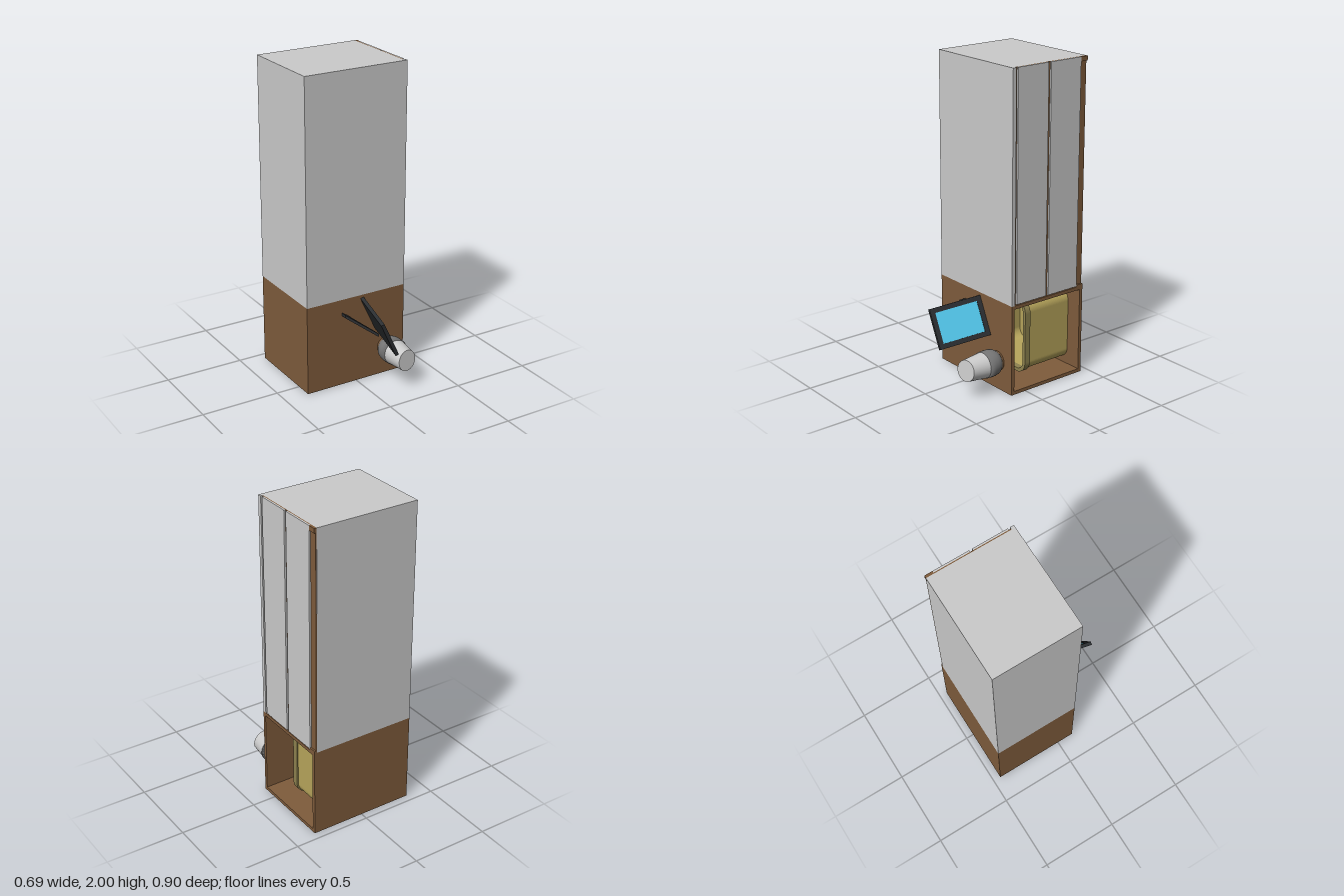
import * as THREE from 'three';

const mat = (color, side = THREE.FrontSide) => new THREE.MeshStandardMaterial({ color, side });
const GREY = mat(0xcccccc);
const BROWN = mat(0x7f5c3c);
const BLACK = mat(0x2b2e31);
const YELLOW = mat(0xb8a65c, THREE.DoubleSide);
const LIP = mat(0x8f8350, THREE.DoubleSide);
const DARK = mat(0x777777);
const BLUE = mat(0x55cdf2);

function add(parent, name, geometry, material) {
  const mesh = new THREE.Mesh(geometry, material);
  mesh.name = name;
  parent.add(mesh);
  return mesh;
}

// Box given by its extents on each axis
function block(parent, name, [x0, x1], [y0, y1], [z0, z1], material) {
  const mesh = add(parent, name, new THREE.BoxGeometry(x1 - x0, y1 - y0, z1 - z0), material);
  mesh.position.set((x0 + x1) / 2, (y0 + y1) / 2, (z0 + z1) / 2);
  return mesh;
}

function roundedRect(path, w, h, r) {
  const x = w / 2, y = h / 2;
  path.moveTo(-x + r, -y);
  path.lineTo(x - r, -y);
  path.absarc(x - r, -y + r, r, -Math.PI / 2, 0);
  path.lineTo(x, y - r);
  path.absarc(x - r, y - r, r, 0, Math.PI / 2);
  path.lineTo(-x + r, y);
  path.absarc(-x + r, y - r, r, Math.PI / 2, Math.PI);
  path.lineTo(-x, -y + r);
  path.absarc(-x + r, -y + r, r, Math.PI, Math.PI * 1.5);
  return path;
}

function extrude(w, h, r, depth, wall = 0) {
  const shape = roundedRect(new THREE.Shape(), w, h, r);
  if (wall) {
    shape.holes.push(roundedRect(new THREE.Path(), w - 2 * wall, h - 2 * wall, Math.max(r - wall, 0.0001)));
  }
  return new THREE.ExtrudeGeometry(shape, { depth, bevelEnabled: false, curveSegments: 8 });
}

// Grey drawer unit: carcass, fronts with brown gaps, worktop slab
function drawerUnit() {
  const g = new THREE.Group();
  g.name = 'drawerUnit';
  const y = [0.58, 2];
  block(g, 'carcass', [-0.345, 0.328], [0.575, 2], [-0.45, 0.085], GREY);
  block(g, 'recessedFrame', [0.328, 0.334], [0.575, 2], [-0.449, 0.085], BROWN);
  block(g, 'worktop', [-0.345, 0.345], [0.575, 2], [0.085, 0.11], GREY);
  for (const z of [[-0.4, -0.172], [-0.154, 0.072]]) block(g, 'drawerFront', [0.334, 0.345], y, z, GREY);
  for (const e of [[0.575, 0.588], [1.972, 2]]) block(g, 'plinthEnd', [0.328, 0.345], e, [-0.45, -0.4], BROWN);
  return g;
}

// Hollow brown shelf box, open towards +x
function shelfBox() {
  const g = new THREE.Group();
  g.name = 'openShelf';
  const x = [-0.345, 0.345], t = 0.022;
  block(g, 'shelfTop', x, [0, 0.575], [0.11 - t, 0.11], BROWN);
  block(g, 'shelfBase', x, [0, 0.575], [-0.45, -0.45 + t], BROWN);
  for (const y of [[0, t], [0.575 - t, 0.575]]) block(g, 'shelfSide', x, y, [-0.45 + t, 0.11 - t], BROWN);
  block(g, 'shelfBack', [-0.345, -0.345 + t], [t, 0.575 - t], [-0.45 + t, 0.11 - t], BROWN);
  return g;
}

// Rounded basket with a thicker lip, opening towards +z
function basket() {
  const g = new THREE.Group();
  g.name = 'basket';
  add(g, 'basketWall', extrude(0.46, 0.46, 0.07, 0.33, 0.012), YELLOW);
  add(g, 'basketFloor', extrude(0.45, 0.45, 0.065, 0.012), YELLOW);
  add(g, 'basketLip', extrude(0.478, 0.478, 0.078, 0.04, 0.022), LIP).position.z = 0.314;
  g.position.set(0.012, 0.288, -0.428);
  return g;
}

// Small lamp: brown foot, rounded dark body, tapered shade with a slanted end
function lamp() {
  const g = new THREE.Group();
  g.name = 'lamp';
  const lathe = (pts) =>
    new THREE.LatheGeometry(pts.map(([r, z]) => new THREE.Vector2(r, z)), 32).rotateX(Math.PI / 2);
  add(g, 'lampFoot', new THREE.CylinderGeometry(0.064, 0.06, 0.016, 32).rotateX(Math.PI / 2), BROWN).position.z = 0.007;
  const body = [[0, 0.012], [0.062, 0.012], [0.07, 0.021], [0.078, 0.034], [0.083, 0.054], [0.084, 0.075], [0.083, 0.115], [0, 0.115]];
  add(g, 'lampBody', lathe(body), DARK);
  const shade = new THREE.CylinderGeometry(0.066, 0.08, 0.13, 32).rotateX(Math.PI / 2).translate(0, 0, 0.18);
  const p = shade.attributes.position;
  for (let i = 0; i < p.count; i++) {
    if (p.getZ(i) > 0.2) p.setZ(i, 0.244 - 0.17 * p.getX(i) - 0.1 * p.getY(i));
  }
  shade.computeVertexNormals();
  add(g, 'lampShade', shade, GREY);
  g.position.set(0.215, 0.187, 0.11);
  return g;
}

// Leaning frame with a blue panel, held by a rear strut
function pictureFrame() {
  const g = new THREE.Group();
  g.name = 'pictureFrame';
  const panel = new THREE.Group();
  panel.name = 'leaningPanel';
  add(panel, 'frameBorder', extrude(0.25, 0.34, 0.0005, 0.022, 0.03), BLACK).position.z = -0.022;
  add(panel, 'bluePanel', new THREE.BoxGeometry(0.192, 0.282, 0.012), BLUE).position.z = -0.01;
  add(panel, 'frameBacking', new THREE.BoxGeometry(0.192, 0.282, 0.006), BLACK).position.z = -0.019;
  const up = new THREE.Vector3(-0.186, -0.087, 0.978).normalize();
  const out = new THREE.Vector3(0.886, 0.414, 0.205).normalize();
  const across = up.clone().cross(out).normalize();
  out.crossVectors(across, up);
  panel.quaternion.setFromRotationMatrix(new THREE.Matrix4().makeBasis(across, up, out));
  panel.position.set(0.07, 0.433, 0.281);
  g.add(panel);

  const outline = [[-0.104, 0.155], [-0.104, 0.11], [-0.065, 0.11], [0.045, 0.285], [0.035, 0.31]];
  const shape = new THREE.Shape(outline.map(([x, z]) => new THREE.Vector2(x, z)));
  const strut = new THREE.ExtrudeGeometry(shape, { depth: 0.02, bevelEnabled: false }).rotateX(Math.PI / 2);
  const p = strut.attributes.position;
  for (let i = 0; i < p.count; i++) p.setY(i, p.getY(i) + 0.42 - 0.68 * p.getX(i));
  strut.computeVertexNormals();
  add(g, 'rearStrut', strut, BLACK);
  return g;
}

export function createModel() {
  const model = new THREE.Group();
  model.name = 'drawerCabinet';
  model.add(drawerUnit(), shelfBox(), basket(), lamp(), pictureFrame());
  return model;
}
